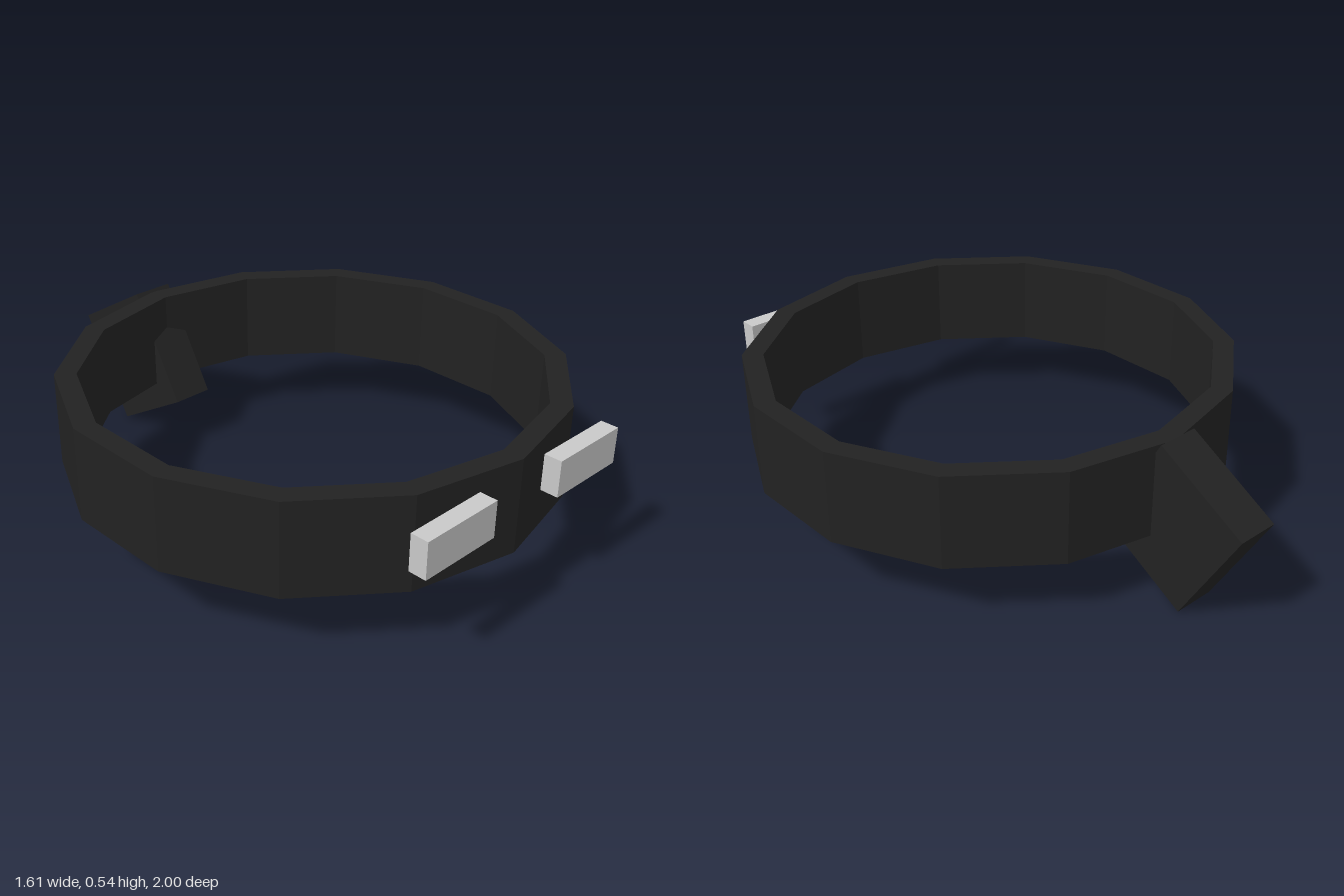
import * as THREE from 'three';

export function createModel() {
  const model = new THREE.Group();
  const black = new THREE.MeshStandardMaterial({ color: 0x222222, flatShading: true });
  black.name = 'black';
  const paleGrey = new THREE.MeshStandardMaterial({ color: 0xc8c8c8, flatShading: true });
  paleGrey.name = 'pale grey';

  function add(name, geometry, material, x, y, z) {
    const mesh = new THREE.Mesh(geometry, material);
    mesh.name = name;
    mesh.position.set(x, y, z);
    model.add(mesh);
    return mesh;
  }

  // Fourteen-sided band with a rectangular cross-section
  const inner = 0.755, outer = 0.826, bottom = 0.216, top = 0.532;
  const profile = [
    [inner, bottom], [outer, bottom], [outer, top], [inner, top], [inner, bottom],
  ].map(([r, y]) => new THREE.Vector2(r, y));
  add('band', new THREE.LatheGeometry(profile, 14), black, 0, 0, 0.145);

  // Tilted block crossing the back of the band
  const block = add('backBlock', new THREE.BoxGeometry(0.145, 0.415, 0.365), black, 0, 0.271, -0.738);
  block.rotation.x = -Math.PI / 6;

  // Pale bars on the front
  for (const [name, side] of [['leftFrontBar', 1], ['rightFrontBar', -1]]) {
    add(name, new THREE.BoxGeometry(0.29, 0.122, 0.06), paleGrey, side * 0.294, 0.413, 0.97);
  }

  return model;
}
